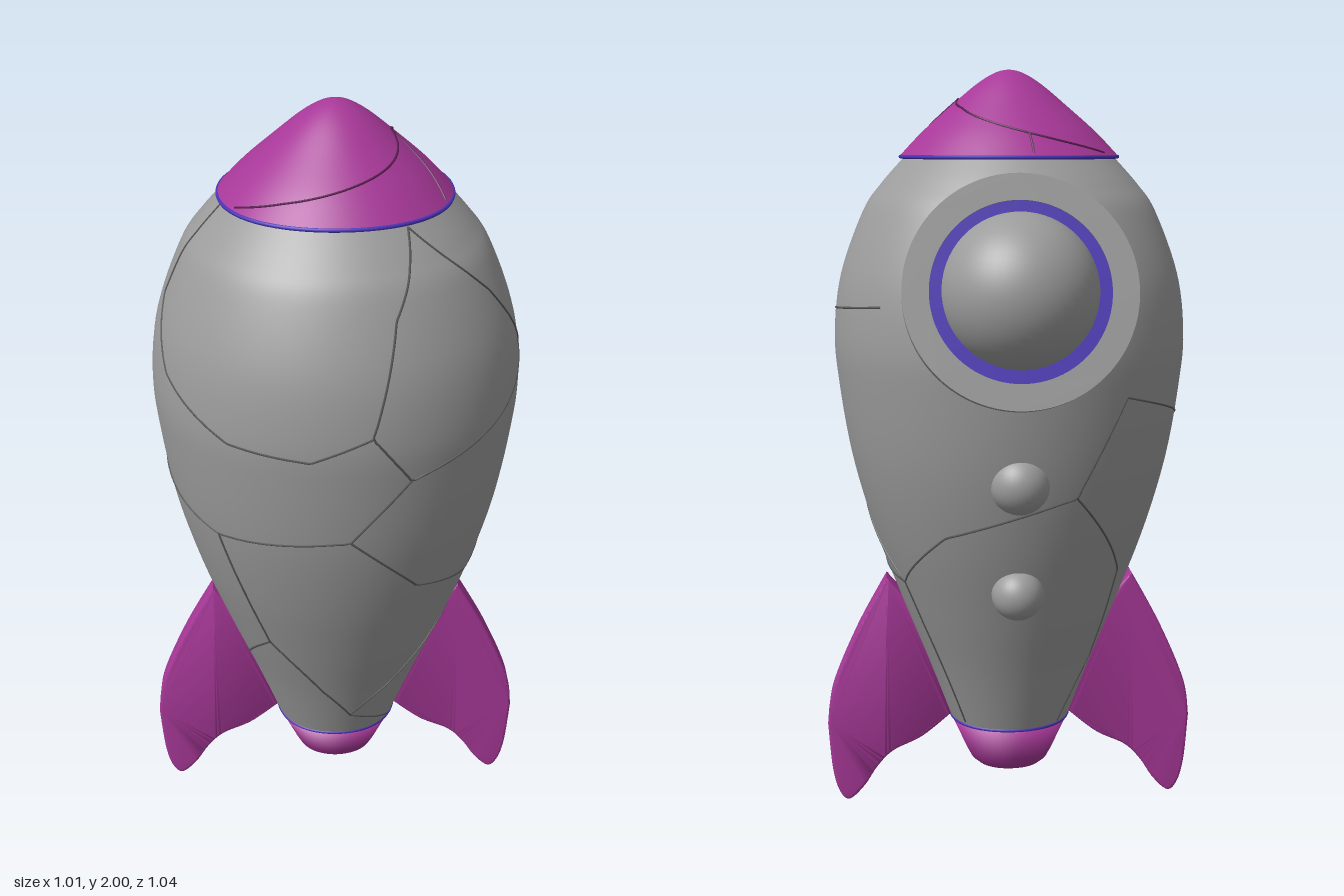
import * as THREE from 'three';
import { toCreasedNormals } from 'three/addons/utils/BufferGeometryUtils.js';

const AXIS_Z = 0.055; // the hull axis sits slightly forward of the origin
const paint = (color) => new THREE.MeshStandardMaterial({ color });
const grey = paint(0x9c9c9c);
const purple = paint(0xa73898);
const blue = paint(0x4a35b8);
const greySeam = paint(0x5a5a5a);
const purpleSeam = paint(0x5a1e52);

// The round parts are a little fuller on their diagonals
const fullness = (angle) => 1 + 0.025 * Math.sin(2 * angle) ** 2;

function fillDiagonals(geometry) {
  const p = geometry.attributes.position;
  for (let i = 0; i < p.count; i++) {
    const k = fullness(Math.atan2(p.getX(i), p.getZ(i)));
    p.setXYZ(i, p.getX(i) * k, p.getY(i), p.getZ(i) * k);
  }
  return geometry;
}

// Smooth profile through a few [radius, height] points
function smoothProfile(points, steps) {
  const profile = new THREE.SplineCurve(points.map(([r, y]) => new THREE.Vector2(r, y))).getPoints(steps);
  profile.forEach((p) => { p.x = Math.max(p.x, 0); });
  return profile;
}

const lathe = (profile) => fillDiagonals(new THREE.LatheGeometry(profile, 72));
const disc = (r, up) => fillDiagonals(new THREE.CircleGeometry(r, 72).rotateX(up ? -Math.PI / 2 : Math.PI / 2));

function add(parent, name, geometry, material, x = 0, y = 0, z = 0) {
  const mesh = new THREE.Mesh(geometry, material);
  mesh.name = name;
  mesh.position.set(x, y, z);
  parent.add(mesh);
}

// Thin panel seam over a profile through [degrees from the front, height] points
function seamGeometry(profile, route) {
  const points = [];
  for (let i = 0; i < route.length - 1; i++) {
    for (let j = i ? 1 : 0; j <= 10; j++) {
      const angle = THREE.MathUtils.degToRad(THREE.MathUtils.lerp(route[i][0], route[i + 1][0], j / 10));
      const y = THREE.MathUtils.lerp(route[i][1], route[i + 1][1], j / 10);
      const n = Math.max(1, profile.findIndex((p) => (p.y - y) * (profile.at(-1).y - profile[0].y) >= 0));
      const a = profile[n - 1], b = profile[n];
      const r = THREE.MathUtils.mapLinear(y, a.y, b.y, a.x, b.x) * fullness(angle);
      points.push(new THREE.Vector3(r * Math.sin(angle), y, r * Math.cos(angle)));
    }
  }
  return new THREE.TubeGeometry(new THREE.CatmullRomCurve3(points), points.length * 2, 0.003, 5);
}

// Swept fin outline with softened edges; side is +1 or -1
function finGeometry(side) {
  const curve = (list) => list.map(([x, y]) => new THREE.Vector2(x, y));
  const s = new THREE.Shape();
  s.moveTo(0.1, 0.3);
  s.lineTo(0.165, 0.25);
  s.splineThru(curve([[0.245, 0.185], [0.325, 0.145], [0.37, 0.1], [0.41, 0.04], [0.452, 0.003],
    [0.48, 0.03], [0.497, 0.1], [0.507, 0.23]]));
  s.splineThru(curve([[0.49, 0.335], [0.42, 0.5], [0.338, 0.65]]));
  s.lineTo(0.25, 0.55);
  const g = new THREE.ExtrudeGeometry(s, {
    depth: 0.052, bevelEnabled: true, bevelThickness: 0.008, bevelSize: 0.008, bevelOffset: -0.008,
    bevelSegments: 3, curveSegments: 28,
  });
  g.translate(0, 0, -0.026);
  if (side < 0) g.rotateY(Math.PI);
  return toCreasedNormals(g, 0.8);
}

export function createModel() {
  const rocket = new THREE.Group();
  rocket.name = 'rocket';

  // Hull with a flat top
  const hull = smoothProfile([
    [0.166, 0.25], [0.228, 0.42], [0.298, 0.6], [0.37, 0.8], [0.424, 1.0], [0.455, 1.2],
    [0.463, 1.33], [0.443, 1.48], [0.383, 1.64], [0.335, 1.71], [0.274, 1.778]], 60);
  add(rocket, 'hull', lathe(hull), grey, 0, 0, AXIS_Z);
  add(rocket, 'hullTop', disc(0.274, true), grey, 0, 1.778, AXIS_Z);

  // Nose cone and its underside
  const nose = smoothProfile([
    [0.283, 1.783], [0.226, 1.842], [0.155, 1.904], [0.085, 1.962], [0.035, 1.992], [0, 2.0]], 30);
  add(rocket, 'noseCone', lathe(nose), purple, 0, 0, AXIS_Z);
  add(rocket, 'noseBase', disc(0.283, false), purple, 0, 1.783, AXIS_Z);

  // Engine nozzle with a rounded bottom edge
  add(rocket, 'nozzle', lathe([
    [0, 0.103], [0.07, 0.103], [0.092, 0.108], [0.108, 0.122], [0.12, 0.145], [0.165, 0.247], [0, 0.25],
  ].map(([r, y]) => new THREE.Vector2(r, y))), purple, 0, 0, AXIS_Z);

  // Thin trim rings at the nose and nozzle seams
  for (const [name, r, y] of [['noseTrim', 0.283, 1.779], ['nozzleTrim', 0.164, 0.249]]) {
    const ring = new THREE.TorusGeometry(r, 0.005, 8, 72).rotateX(Math.PI / 2);
    add(rocket, name, fillDiagonals(ring), blue, 0, y, AXIS_Z);
  }

  // Panel seams
  const hullSeams = [
    [[33, 1.77], [18, 1.6], [9, 1.34], [21, 1.215], [55, 1.3], [85, 1.385], [134, 1.42]],
    [[9, 1.34], [-9, 1.28], [-34, 1.3], [-62, 1.4], [-80, 1.55], [-75, 1.77]],
    [[21, 1.215], [3, 1.045], [-43, 1.01], [-85, 1.08], [-145, 1.2]],
    [[3, 1.045], [29, 0.865], [60, 0.81], [87, 0.865], [85, 1.385], [60, 1.6], [33, 1.77]],
    [[87, 0.865], [121, 0.68], [152, 0.84], [200, 0.95], [215, 1.2]],
    [[121, 0.68], [127, 0.45], [133, 0.26]],
    [[121, 0.68], [90, 0.7], [60, 0.6], [35, 0.45], [10, 0.335], [57, 0.26]],
    [[-43, 1.01], [-34, 0.64], [-10, 0.45], [10, 0.335]],
    [[-34, 0.64], [-60, 0.52], [-85, 0.44]],
    [[200, 0.95], [230, 0.72], [240, 0.45], [225, 0.26]],
  ];
  const noseSeams = [
    [[234, 1.79], [189, 1.838], [130, 1.9], [90, 1.925], [65, 1.79]],
    [[189, 1.838], [189, 1.79]],
    [[90, 1.925], [50, 1.89], [12, 1.857], [-30, 1.82], [-57, 1.79]],
  ];
  for (const route of hullSeams) add(rocket, 'hullSeam', seamGeometry(hull, route), greySeam, 0, 0, AXIS_Z);
  for (const route of noseSeams) add(rocket, 'noseSeam', seamGeometry(nose, route), purpleSeam, 0, 0, AXIS_Z);

  // Side fins
  for (const side of [1, -1]) {
    add(rocket, side > 0 ? 'leftFin' : 'rightFin', finGeometry(side), purple, 0, 0, AXIS_Z);
  }

  // Porthole on the back, local +y pointing out of the hull and slightly up
  const porthole = new THREE.Group();
  porthole.name = 'porthole';
  porthole.position.set(0, 1.467, -0.376);
  porthole.rotation.x = -Math.PI / 2 + 0.231;
  rocket.add(porthole);
  const rim = new THREE.Shape().absarc(0, 0, 0.285, 0, Math.PI * 2);
  rim.holes.push(new THREE.Path().absarc(0, 0, 0.22, 0, Math.PI * 2, true));
  const rimGeometry = new THREE.ExtrudeGeometry(rim, { depth: 0.1, bevelEnabled: false, curveSegments: 64 });
  add(porthole, 'portholeRim', toCreasedNormals(rimGeometry.rotateX(Math.PI / 2), 0.6), grey);
  add(porthole, 'portholeTrim', new THREE.RingGeometry(0.17, 0.222, 72).rotateX(-Math.PI / 2), blue, 0, -0.004, 0);
  add(rocket, 'portholeDome', new THREE.SphereGeometry(0.197, 48, 32), grey, 0, 1.457, -0.321);

  // Round studs below the porthole
  for (const [name, r, y, z] of [['upperStud', 0.077, 0.988, -0.335], ['lowerStud', 0.067, 0.686, -0.274]]) {
    add(rocket, name, new THREE.SphereGeometry(r, 32, 24), grey, 0, y, z);
  }
  return rocket;
}
